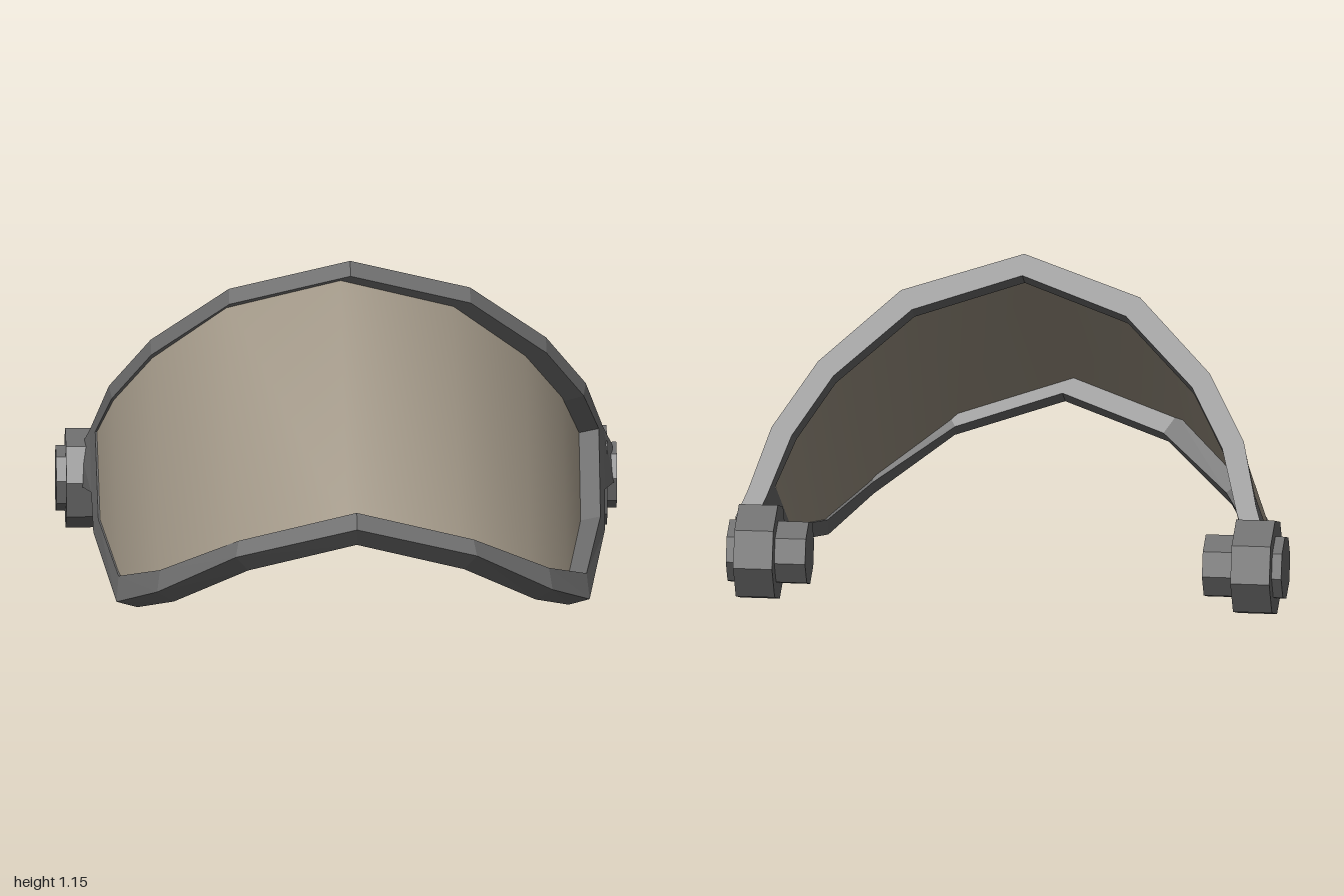
import * as THREE from 'three';

// Visor surface: w runs down from the crest, l runs forward from the back rim
const CENTRE = 0.035;
const W = [0, 0.156, 0.444, 0.706, 0.956, 1.06, 1.12];
const HALF_WIDTH = [0, 0.43, 0.705, 0.85, 0.915, 0.95, 0.955];
const INSET_X = [0, 0.045, 0.06, 0.075, 0.07, 0.07, 0.07];
const INSET_W = [0.085, 0.075, 0.055, 0.03, 0.02, 0.015, 0];

function lookup(table, w) {
  let i = 0;
  while (i < W.length - 2 && w > W[i + 1]) i++;
  return THREE.MathUtils.lerp(table[i], table[i + 1], (w - W[i]) / (W[i + 1] - W[i]));
}

// Tilted visor coordinates to model coordinates
const place = (x, w, l) => [x, 1.165 - 0.8 * w - 0.54 * l, -0.13 - 0.6 * w + 0.84 * l];

// depth 0 is the outer face, depth 1 the inner face of the frame
function point([w, l], side, depth) {
  const x = CENTRE + side * (lookup(HALF_WIDTH, w) - depth * lookup(INSET_X, w));
  return place(x, w + depth * lookup(INSET_W, w), l);
}

function section([a, b], side) {
  return [point(a, side, 0), point(b, side, 0), point(b, side, 1), point(a, side, 1)];
}

// Join four-cornered sections into a bar with hard edges
function bar(rings, closed) {
  const pos = [];
  const quad = (a, b, c, d) => pos.push(...a, ...b, ...c, ...a, ...c, ...d);
  const n = rings.length;
  for (let i = 0; i < (closed ? n : n - 1); i++) {
    const p = rings[i], q = rings[(i + 1) % n];
    for (let k = 0; k < 4; k++) {
      const m = (k + 1) % 4;
      quad(p[k], p[m], q[m], q[k]);
    }
  }
  if (!closed) {
    quad(...rings[n - 1]);
    quad(...[...rings[0]].reverse());
  }
  const g = new THREE.BufferGeometry();
  g.setAttribute('position', new THREE.Float32BufferAttribute(pos, 3));
  g.computeVertexNormals();
  return g;
}

// Curved shield, smooth across its columns: half width, w, back l, front l
function shieldGeometry() {
  const half = [
    [0, 0.024, 0.03, 1.26],
    [0.405, 0.176, 0.03, 1.26],
    [0.665, 0.46, 0.03, 1.17],
    [0.8, 0.7, 0.03, 1.0],
    [0.862, 0.91, 0.04, 0.52],
  ];
  const mirrored = half.slice(1).reverse().map(([x, ...rest]) => [-x, ...rest]);
  const pos = [], index = [];
  [...mirrored, ...half].forEach(([x, w, l0, l1], i) => {
    pos.push(...place(x, w, l0), ...place(x, w, l1));
    if (i > 0) {
      const a = 2 * i - 2;
      index.push(a, a + 1, a + 3, a, a + 3, a + 2);
    }
  });
  const g = new THREE.BufferGeometry();
  g.setAttribute('position', new THREE.Float32BufferAttribute(pos, 3));
  g.setIndex(index);
  g.computeVertexNormals();
  return g;
}

export function createModel() {
  const model = new THREE.Group();
  model.name = 'visor';
  const frameGrey = new THREE.MeshStandardMaterial({ color: 0x6c6c6c, flatShading: true });
  frameGrey.name = 'frame grey';
  const shieldTan = new THREE.MeshStandardMaterial({ color: 0x9f9585, side: THREE.DoubleSide });
  shieldTan.name = 'shield tan';

  const add = (name, geometry, material) => {
    const mesh = new THREE.Mesh(geometry, material);
    mesh.name = name;
    model.add(mesh);
    return mesh;
  };

  add('shield', shieldGeometry(), shieldTan);

  // Frame: pairs of outer and inner border points from crest to front lip
  const pairs = [
    [[0, 0], [0, 0.075]],
    [[0.156, 0], [0.156, 0.075]],
    [[0.444, 0], [0.444, 0.075]],
    [[0.706, 0], [0.69, 0.075]],
    [[0.956, 0], [0.89, 0.065]],
    [[0.958, 0.303], [0.89, 0.07]],
    [[0.945, 0.508], [0.88, 0.5]],
    [[0.694, 1.06], [0.678, 0.948]],
    [[0.444, 1.226], [0.432, 1.13]],
    [[0.156, 1.305], [0.152, 1.228]],
    [[0, 1.308], [0, 1.225]],
  ];
  const rings = [
    ...pairs.map((p) => section(p, 1)),
    ...pairs.slice(1, -1).reverse().map((p) => section(p, -1)),
  ];
  add('frame', bar(rings, true), frameGrey);

  for (const side of [1, -1]) {
    const label = side > 0 ? 'left' : 'right';

    // Arm from the frame corner to the hinge
    const arm = [[[0.956, 0], [0.958, 0.303]], [[1.06, 0], [1.117, 0.131]]];
    const armRings = arm.map((p) => section(p, side));
    if (side < 0) armRings.reverse();
    add(label + 'Arm', bar(armRings, false), frameGrey);

    // Octagonal hinge disc with a narrower pin through it
    for (const [name, radius, length, x] of [
      ['HingeDisc', 0.178, 0.14, 0.895],
      ['HingePin', 0.118, 0.285, 0.857],
    ]) {
      const g = new THREE.CylinderGeometry(radius, radius, length, 8);
      g.rotateZ(Math.PI / 2).rotateX(-0.14);
      add(label + name, g, frameGrey).position.set(side * x, 0.2, -0.795);
    }
  }
  return model;
}
